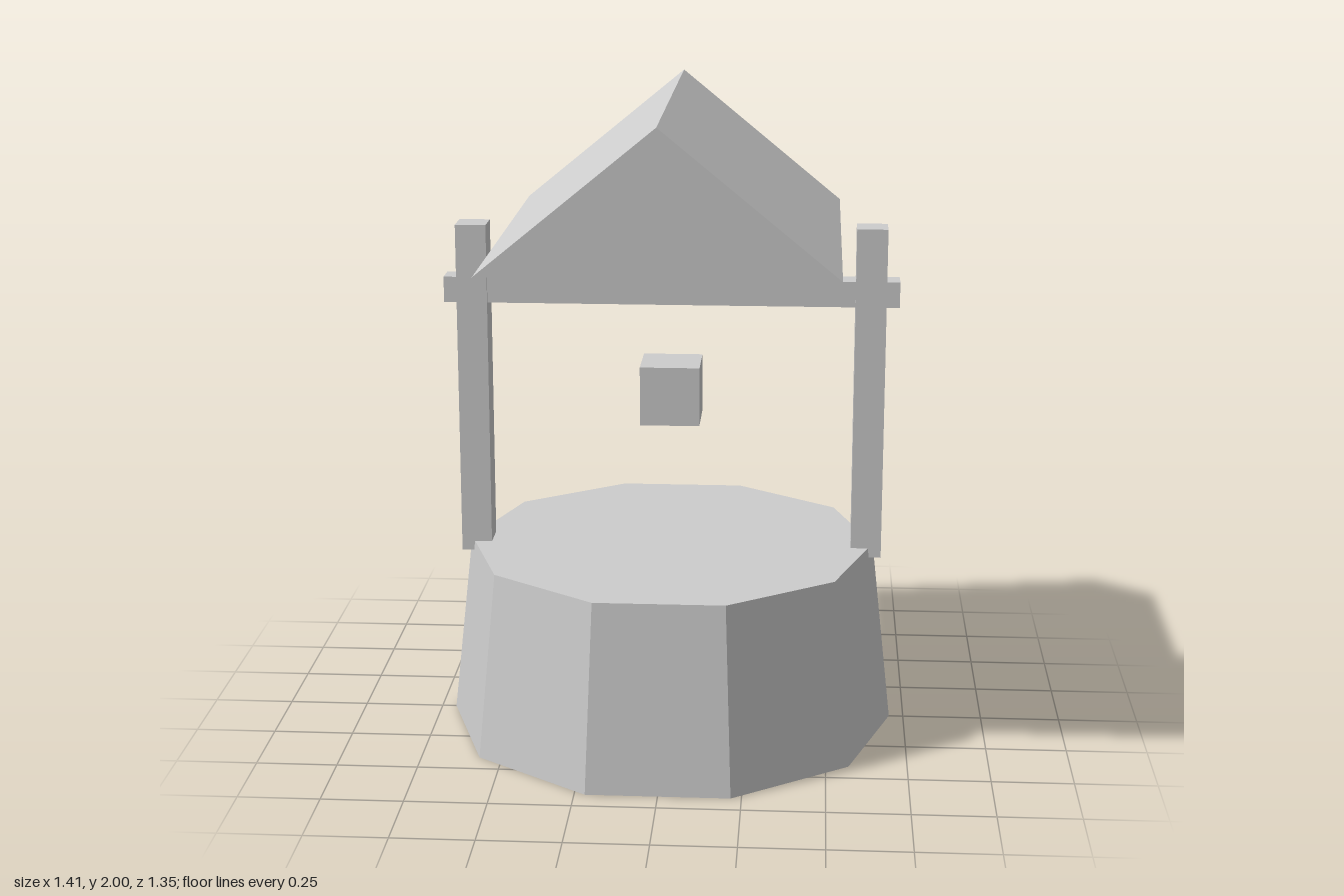
import * as THREE from 'three';

export function createModel() {
  const model = new THREE.Group();
  model.name = 'well';
  const grey = new THREE.MeshStandardMaterial({ color: 0xcccccc, flatShading: true });
  grey.name = 'plain grey';

  const add = (name, geometry, x, y, z) => {
    const mesh = new THREE.Mesh(geometry, grey);
    mesh.name = name;
    mesh.position.set(x, y, z);
    model.add(mesh);
  };

  // Tapered ten-sided wall, with corners on the x axis
  const wallHeight = 0.585;
  add('wellWall', new THREE.CylinderGeometry(0.64, 0.705, wallHeight, 10, 1, false, Math.PI / 2), 0, wallHeight / 2, 0);

  // Posts, sunk slightly into the wall
  for (const [name, side] of [['leftPost', 1], ['rightPost', -1]]) {
    add(name, new THREE.BoxGeometry(0.095, 1.05, 0.1), side * 0.617, 1.08, 0);
  }

  // Crossbar through both posts, and the hanging bucket
  add('crossbar', new THREE.BoxGeometry(1.41, 0.08, 0.08), 0, 1.4, 0);
  add('bucket', new THREE.BoxGeometry(0.185, 0.185, 0.185), 0, 1.08, 0);

  // Gabled roof, a solid triangular prism
  const gable = new THREE.Shape([
    new THREE.Vector2(-0.522, 1.572),
    new THREE.Vector2(0.522, 1.572),
    new THREE.Vector2(0, 2),
  ]);
  const roofLength = 1.35;
  add('roof', new THREE.ExtrudeGeometry(gable, { depth: roofLength, bevelEnabled: false }), 0, 0, -roofLength / 2);

  return model;
}
